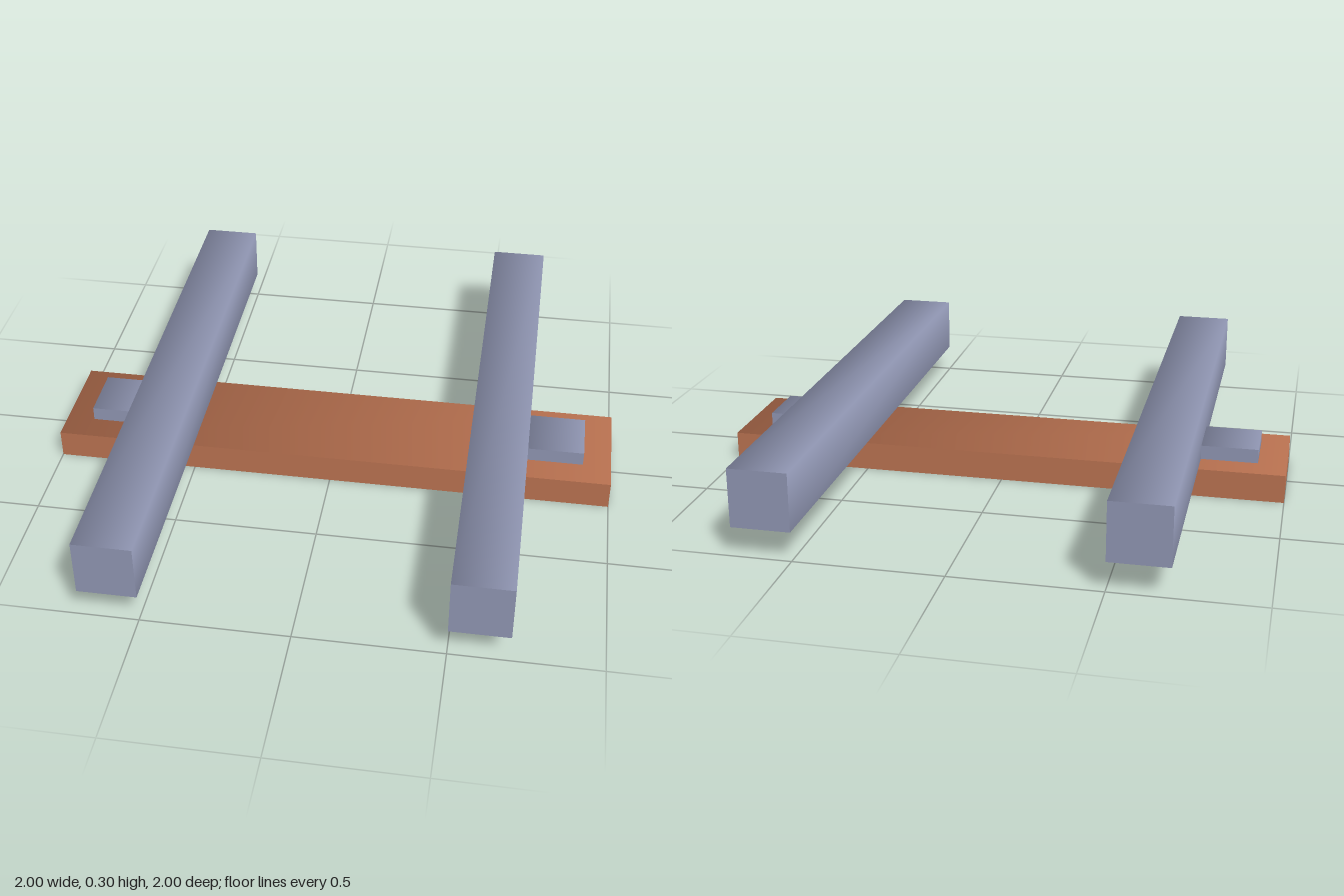
import * as THREE from 'three';

// Box whose top blends smoothly into its left and right sides; ends and underside stay flat
function softTopBox(w, h, d) {
  const geometry = new THREE.BoxGeometry(w, h, d);
  const { position, normal } = geometry.attributes;
  for (let i = 0; i < 12; i++) { // the +x, -x and +y faces
    if (position.getY(i) > 0) {
      normal.setXYZ(i, Math.sign(position.getX(i)) * Math.SQRT1_2, Math.SQRT1_2, 0);
    }
  }
  return geometry;
}

export function createModel() {
  const model = new THREE.Group();
  model.name = 'railFrame';

  const terracotta = new THREE.MeshStandardMaterial({ color: 0xbd7452 });
  terracotta.name = 'terracotta';
  const slateBlue = new THREE.MeshStandardMaterial({ color: 0x9298b5 });
  slateBlue.name = 'slate blue';

  const add = (name, material, size, x, bottom) => {
    const mesh = new THREE.Mesh(softTopBox(...size), material);
    mesh.name = name;
    mesh.position.set(x, bottom + size[1] / 2, 0);
    model.add(mesh);
  };

  // Cross plank lying on the ground
  add('crossPlank', terracotta, [2, 0.1, 0.4], 0, 0);

  // Long rails and the small tabs outside them, mirrored
  for (const [side, s] of [['left', 1], ['right', -1]]) {
    add(side + 'Rail', slateBlue, [0.2, 0.2, 2], s * 0.6, 0.1);
    add(side + 'Tab', slateBlue, [0.2, 0.05, 0.2], s * 0.8, 0.1);
  }
  return model;
}
